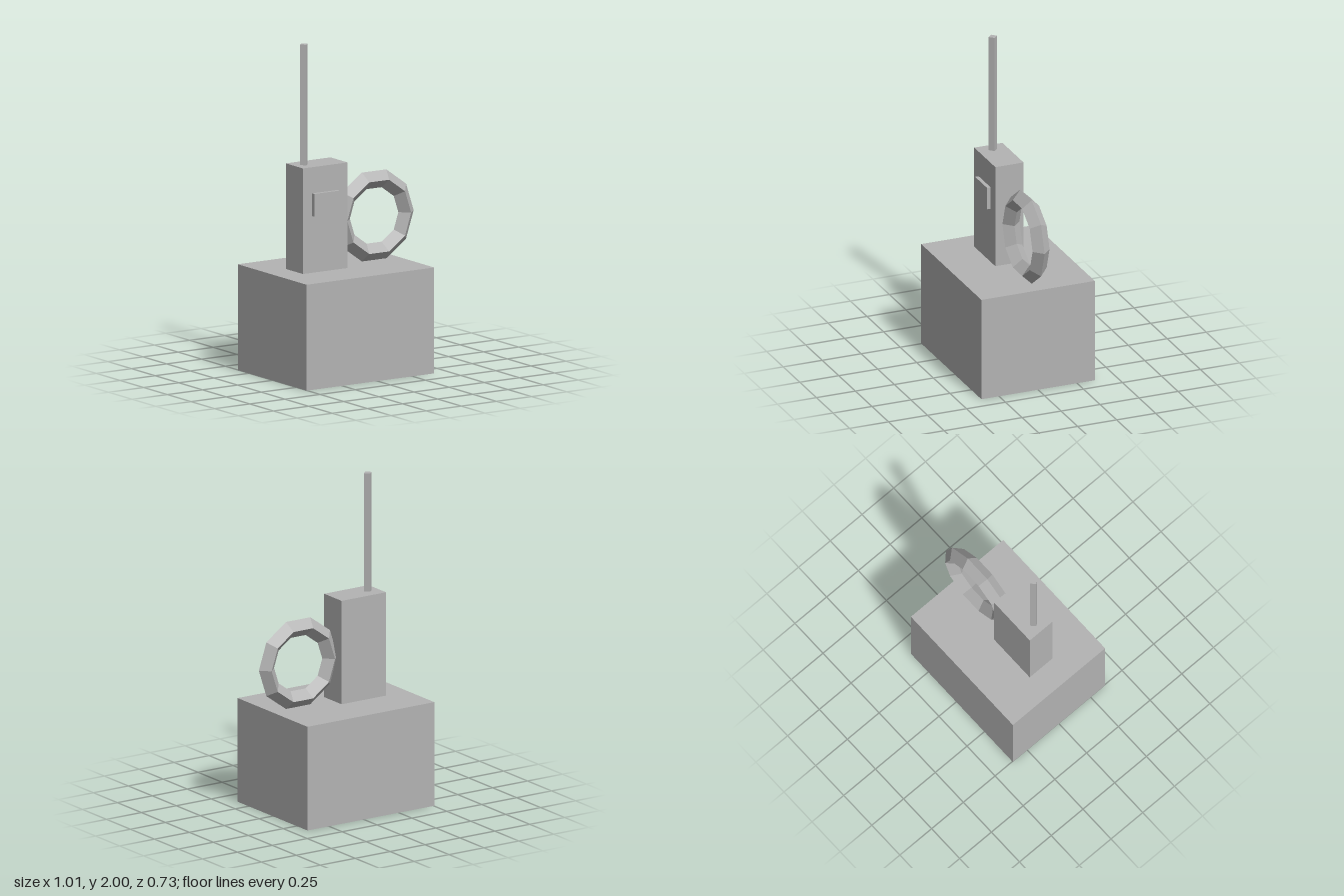
import * as THREE from 'three';

export function createModel() {
  const model = new THREE.Group();
  const grey = new THREE.MeshStandardMaterial({ color: 0xb3b3b3, flatShading: true });
  grey.name = 'plain grey';

  const add = (name, geometry, x, y, z) => {
    const mesh = new THREE.Mesh(geometry, grey);
    mesh.name = name;
    mesh.position.set(x, y, z);
    model.add(mesh);
  };

  // Large block with the slim handset body standing on it
  add('base', new THREE.BoxGeometry(0.908, 0.638, 0.727), -0.05, 0.319, 0);
  add('body', new THREE.BoxGeometry(0.318, 0.636, 0.181), -0.187, 0.956, 0);

  // Raised panel on the front of the body
  add('frontPanel', new THREE.BoxGeometry(0.182, 0.137, 0.023), -0.189, 1.048, 0.102);

  // Four-sided antenna, one corner facing forward
  add('antenna', new THREE.CylinderGeometry(0.027, 0.027, 0.727, 4), -0.278, 1.6365, 0);

  // Ten-sided ring with a diamond cross-section, sunk into the body's side
  add('ring', new THREE.TorusGeometry(0.227, 0.0545, 4, 10), 0.221, 0.911, 0);

  return model;
}
